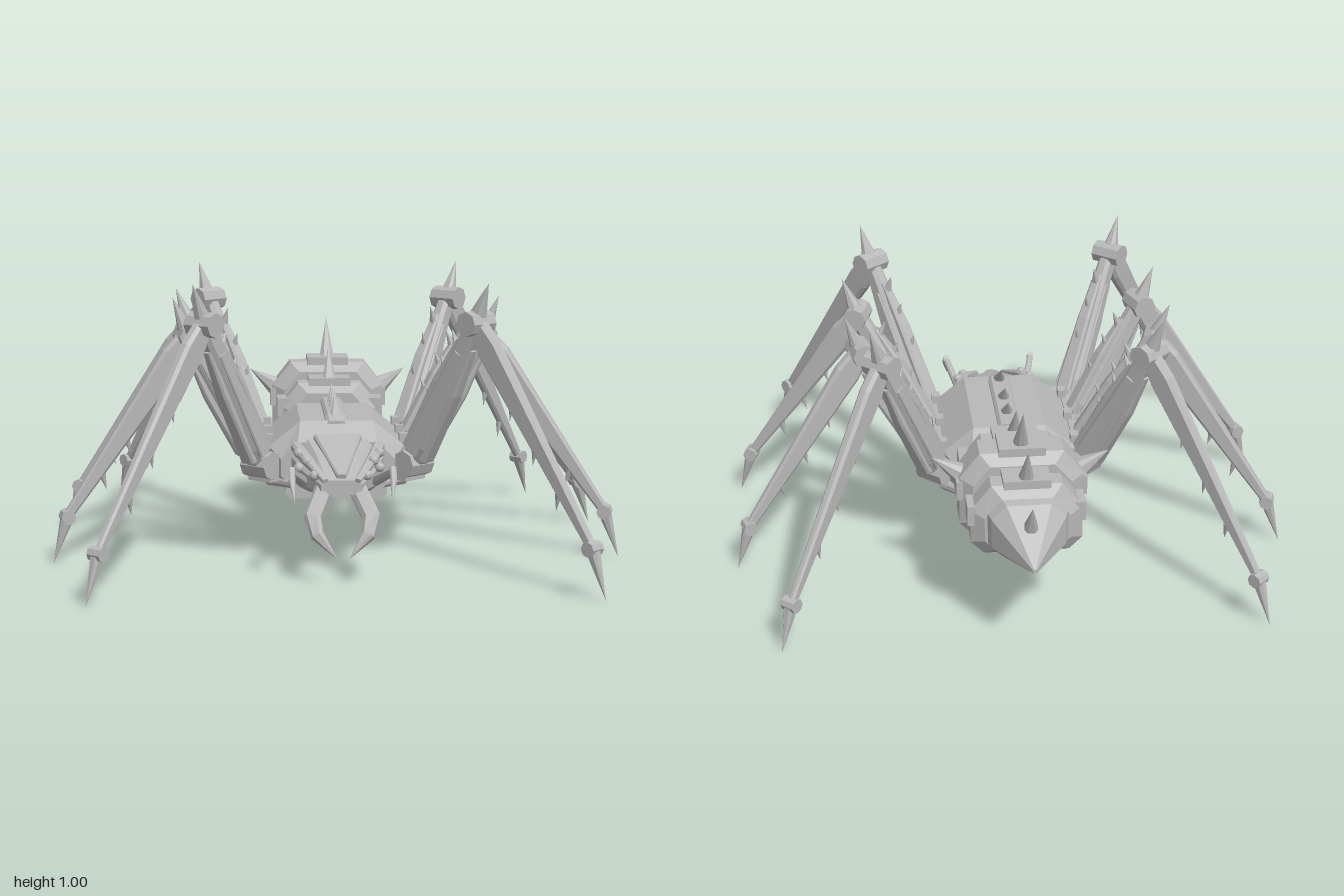
import * as THREE from 'three';

const V = (x, y, z) => new THREE.Vector3(x, y, z);
const shell = new THREE.MeshStandardMaterial({ color: 0xb8b8b8, flatShading: true });
shell.name = 'grey shell';

function add(parent, name, geometry, x = 0, y = 0, z = 0) {
  const mesh = new THREE.Mesh(geometry, shell);
  mesh.name = name;
  mesh.position.set(x, y, z);
  parent.add(mesh);
  return mesh;
}

// Skin a row of matching rings and close both ends
function loft(rings) {
  const p = [];
  const tri = (...pts) => pts.forEach((v) => p.push(v.x, v.y, v.z));
  const n = rings[0].length, last = rings[rings.length - 1];
  for (let r = 0; r < rings.length - 1; r++) {
    const a = rings[r], b = rings[r + 1];
    for (let i = 0; i < n; i++) {
      const j = (i + 1) % n;
      tri(a[i], b[i], a[j]);
      tri(b[i], b[j], a[j]);
    }
  }
  for (let i = 1; i < n - 1; i++) {
    tri(rings[0][0], rings[0][i], rings[0][i + 1]);
    tri(last[0], last[i + 1], last[i]);
  }
  const g = new THREE.BufferGeometry();
  g.setAttribute('position', new THREE.Float32BufferAttribute(p, 3));
  g.computeVertexNormals();
  return g;
}

// Chamfered section facing z: half width, bottom, top, top chamfer x and y, bottom chamfer
const section = (z, w, y0, y1, cx, cy, cb) => [
  [w, y0 + cb], [w, y1 - cy], [w - cx, y1], [cx - w, y1],
  [-w, y1 - cy], [-w, y0 + cb], [cb - w, y0], [w - cb, y0],
].map(([x, y]) => V(x, y, z));
const hull = (...sections) => loft(sections.map((s) => section(...s)));

// Tapered eight-sided bar along a path; sizes are [width along ref, depth]
function limb(path, sizes, ref = V(0, 0, 1)) {
  const rings = path.map((pt, i) => {
    const d = path[Math.min(i + 1, path.length - 1)].clone().sub(path[Math.max(i - 1, 0)]).normalize();
    const s = ref.clone().addScaledVector(d, -ref.dot(d)).normalize();
    const u = s.clone().cross(d);
    const w = sizes[i][0] / 2, h = sizes[i][1] / 2, c = Math.min(w, h) * 0.5;
    return [[w, c - h], [w, h - c], [w - c, h], [c - w, h], [-w, h - c], [-w, c - h], [c - w, -h], [w - c, -h]]
      .map(([a, b]) => pt.clone().addScaledVector(s, a).addScaledVector(u, b));
  });
  return loft(rings);
}
const spike = (a, b, size, ref) => limb([a, b], [[size, size], [0, 0]], ref);

// One leg, drawn in its own upright plane with x pointing outward
function makeLeg([hx, hz, tx, tz, kneeY], side, name) {
  const leg = new THREE.Group();
  leg.name = name;
  const dx = tx - hx, dz = tz - hz, len = Math.hypot(dx, dz), hipY = 0.34;
  leg.position.set(side * hx, 0, hz);
  leg.rotation.y = Math.atan2(-dz, side * dx);

  const hip = V(0, hipY, 0), knee = V(len * 0.335, kneeY, 0);
  const ankle = V(len * 0.93, 0.165, 0), tip = V(len, 0, 0);
  const frame = (a, b) => {
    const d = b.clone().sub(a).normalize(), u = V(-d.y, d.x, 0);
    return (t, off, z = 0) => a.clone().lerp(b, t).addScaledVector(u, off).add(V(0, 0, z));
  };
  const roller = (part, r, l, at) => add(leg, part, new THREE.CylinderGeometry(r, r, l, 8).rotateX(Math.PI / 2), at.x, at.y, at.z);

  // Upper leg with layered armour
  const up = frame(hip, knee);
  add(leg, 'hipBlock', new THREE.BoxGeometry(0.12, 0.08, 0.1), -0.05, 0.32, 0);
  roller('hipJoint', 0.05, 0.11, hip);
  add(leg, 'upperLeg', limb([up(-0.04, 0), up(0.15, 0), up(1, 0)], [[0.07, 0.07], [0.085, 0.1], [0.05, 0.06]]));
  for (const s of [-1, 1]) {
    add(leg, 'upperLegArmour', limb([up(0.08, s * 0.045), up(0.55, s * 0.045), up(0.85, s * 0.032)], [[0.06, 0.03], [0.05, 0.03], [0.03, 0.02]]));
    add(leg, 'upperLegSidePlate', limb([up(0.1, 0, s * 0.043), up(0.8, 0, s * 0.028)], [[0.02, 0.06], [0.015, 0.035]]));
  }
  for (const t of [0.4, 0.62, 0.8]) add(leg, 'upperLegSpine', spike(up(t, 0.035), up(t + 0.07, 0.085), 0.03));

  // Knee with its tall spike
  roller('kneeJoint', 0.043, 0.11, knee);
  add(leg, 'kneeSpike', spike(knee, V(knee.x + 0.055, knee.y + 0.14, 0), 0.062));

  // Blade-like lower leg and pointed foot
  const low = frame(knee, ankle);
  add(leg, 'lowerLeg', limb([low(-0.03, 0), low(0.12, 0), low(1, 0)], [[0.045, 0.06], [0.045, 0.095], [0.026, 0.032]]));
  for (const t of [0.35, 0.55, 0.75]) add(leg, 'lowerLegSpine', spike(low(t, -0.02), low(t + 0.05, -0.065), 0.024));
  roller('ankleJoint', 0.026, 0.055, ankle);
  add(leg, 'footClaw', spike(ankle, tip, 0.045));
  return leg;
}

export function createModel() {
  const model = new THREE.Group();
  model.name = 'armouredSpider';

  // Thorax shell, skirt and stepped belly plates
  const thorax = new THREE.Group();
  thorax.name = 'thorax';
  model.add(thorax);
  add(thorax, 'thoraxShell', hull(
    [0.33, 0.2, 0.28, 0.42, 0.06, 0.06, 0.02], [0.26, 0.24, 0.27, 0.485, 0.11, 0.09, 0.02],
    [-0.16, 0.24, 0.27, 0.485, 0.11, 0.09, 0.02], [-0.23, 0.21, 0.28, 0.44, 0.07, 0.06, 0.02]));
  add(thorax, 'backRidge', hull([0.27, 0.035, 0.45, 0.485, 0.01, 0.01, 0], [0.22, 0.04, 0.45, 0.505, 0.01, 0.01, 0],
    [-0.18, 0.04, 0.45, 0.505, 0.01, 0.01, 0]));
  add(thorax, 'skirt', hull([0.35, 0.17, 0.26, 0.29, 0.01, 0.01, 0.01], [0.26, 0.26, 0.255, 0.3, 0.01, 0.01, 0.015],
    [-0.19, 0.26, 0.255, 0.3, 0.01, 0.01, 0.015], [-0.28, 0.17, 0.26, 0.29, 0.01, 0.01, 0.01]));
  add(thorax, 'bellyPlate', hull([0.26, 0.18, 0.205, 0.26, 0, 0, 0.015], [-0.14, 0.18, 0.205, 0.26, 0, 0, 0.015]));
  add(thorax, 'bellyHatch', hull([0.18, 0.1, 0.19, 0.21, 0, 0, 0.005], [-0.04, 0.1, 0.19, 0.21, 0, 0, 0.005]));
  for (const s of [-1, 1]) {
    add(thorax, 'sideRail', new THREE.BoxGeometry(0.05, 0.07, 0.46), s * 0.255, 0.34, 0.045);
    add(thorax, 'sideRailCap', new THREE.BoxGeometry(0.025, 0.03, 0.4), s * 0.25, 0.39, 0.045);
    for (const z of [-0.14, 0.045, 0.23]) add(thorax, 'sideStud', new THREE.BoxGeometry(0.03, 0.03, 0.04), s * 0.24, 0.42, z);
  }
  for (const [z0, z1, y] of [[0.22, 0.13, 0.57], [0.06, -0.01, 0.565], [-0.06, -0.13, 0.565]])
    add(thorax, 'backSpike', spike(V(0, 0.48, z0), V(0, y, z1), 0.055, V(1, 0, 0)));

  // Wedge head with brow plates and clustered eyes
  const head = new THREE.Group();
  head.name = 'head';
  model.add(head);
  add(head, 'headShell', hull([0.6, 0.07, 0.285, 0.335, 0.02, 0.015, 0.01], [0.46, 0.125, 0.27, 0.39, 0.05, 0.05, 0.02],
    [0.32, 0.165, 0.265, 0.43, 0.06, 0.06, 0.02]));
  add(head, 'crownPlate', limb([V(0, 0.435, 0.32), V(0, 0.345, 0.59)], [[0.17, 0.03], [0.03, 0.02]], V(1, 0, 0)));
  for (const s of [-1, 1]) {
    add(head, 'brow', limb([V(s * 0.145, 0.405, 0.33), V(s * 0.115, 0.385, 0.47), V(s * 0.055, 0.335, 0.61)],
      [[0.04, 0.035], [0.04, 0.035], [0.02, 0.015]], V(1, 0, 0)));
    for (const [x, y, z] of [[0.14, 0.4, 0.43], [0.115, 0.385, 0.5], [0.09, 0.345, 0.56], [0.14, 0.35, 0.44]])
      add(head, 'eye', new THREE.IcosahedronGeometry(0.018, 1), s * x, y, z);
    // Fangs swing out, then hook inward
    add(head, 'fang', limb([V(s * 0.05, 0.31, 0.54), V(s * 0.1, 0.215, 0.65), V(s * 0.085, 0.165, 0.69), V(s * 0.02, 0.09, 0.72)],
      [[0.06, 0.06], [0.06, 0.055], [0.045, 0.04], [0, 0]], V(1, 0, 0.3)));
    add(head, 'feelerArm', limb([V(s * 0.125, 0.31, 0.48), V(s * 0.17, 0.375, 0.66)], [[0.028, 0.032], [0.022, 0.026]], V(1, 0, 0)));
    add(head, 'feelerClaw', limb([V(s * 0.17, 0.385, 0.65), V(s * 0.17, 0.35, 0.69), V(s * 0.162, 0.285, 0.735)],
      [[0.022, 0.026], [0.022, 0.024], [0, 0]], V(1, 0, 0)));
  }

  // Abdomen: three armoured rings joined by a waist, ending in a pointed tail
  const abdomen = new THREE.Group();
  abdomen.name = 'abdomen';
  model.add(abdomen);
  add(abdomen, 'waist', hull([-0.18, 0.065, 0.32, 0.46, 0.02, 0.02, 0.02], [-0.3, 0.065, 0.32, 0.46, 0.02, 0.02, 0.02]));
  add(abdomen, 'abdomenCore', hull([-0.29, 0.12, 0.34, 0.5, 0.04, 0.04, 0.03], [-0.8, 0.11, 0.34, 0.51, 0.04, 0.04, 0.03]));
  const rings = [[-0.275, -0.425, 0.19, 0.315, 0.54], [-0.435, -0.61, 0.215, 0.29, 0.6], [-0.625, -0.765, 0.19, 0.305, 0.56]];
  for (const [a, b, w, y0, y1] of rings) {
    const mid = (a + b) / 2, depth = a - b;
    add(abdomen, 'abdomenRing', hull([a, w - 0.045, y0 + 0.03, y1 - 0.035, 0.06, 0.07, 0.035], [a - 0.035, w, y0, y1, 0.07, 0.09, 0.045],
      [b + 0.035, w, y0, y1, 0.07, 0.09, 0.045], [b, w - 0.045, y0 + 0.03, y1 - 0.035, 0.06, 0.07, 0.035]));
    add(abdomen, 'topPlate', new THREE.BoxGeometry(0.16, 0.03, depth - 0.04), 0, y1 + 0.005, mid);
    for (const s of [-1, 1]) add(abdomen, 'sidePlate', new THREE.BoxGeometry(0.05, 0.07, depth - 0.05), s * (w - 0.015), (y0 + y1) / 2 + 0.02, mid);
  }
  add(abdomen, 'tail', hull([-0.765, 0.135, 0.335, 0.525, 0.05, 0.05, 0.03], [-0.8, 0.125, 0.335, 0.52, 0.05, 0.05, 0.03],
    [-0.97, 0.006, 0.36, 0.375, 0.003, 0.003, 0.003]));
  for (const [z0, y0, z1, y1] of [[-0.33, 0.55, -0.4, 0.67], [-0.53, 0.61, -0.615, 0.765], [-0.7, 0.57, -0.77, 0.7], [-0.84, 0.46, -0.905, 0.565]])
    add(abdomen, 'abdomenSpike', spike(V(0, y0 - 0.02, z0), V(0, y1, z1), 0.06, V(1, 0, 0)));
  for (const s of [-1, 1]) add(abdomen, 'sideSpike', spike(V(s * 0.19, 0.49, -0.52), V(s * 0.305, 0.57, -0.53), 0.08));

  // Eight legs: hip x and z, foot x and z, knee height
  const legs = [[0.27, 0.31, 0.84, 0.97, 0.86], [0.285, 0.14, 1, 0.355, 0.785], [0.285, -0.04, 1, -0.245, 0.785], [0.27, -0.18, 0.84, -0.81, 0.86]];
  legs.forEach((spec, i) => {
    for (const s of [-1, 1]) model.add(makeLeg(spec, s, (s > 0 ? 'left' : 'right') + 'Leg' + (i + 1)));
  });
  return model;
}
